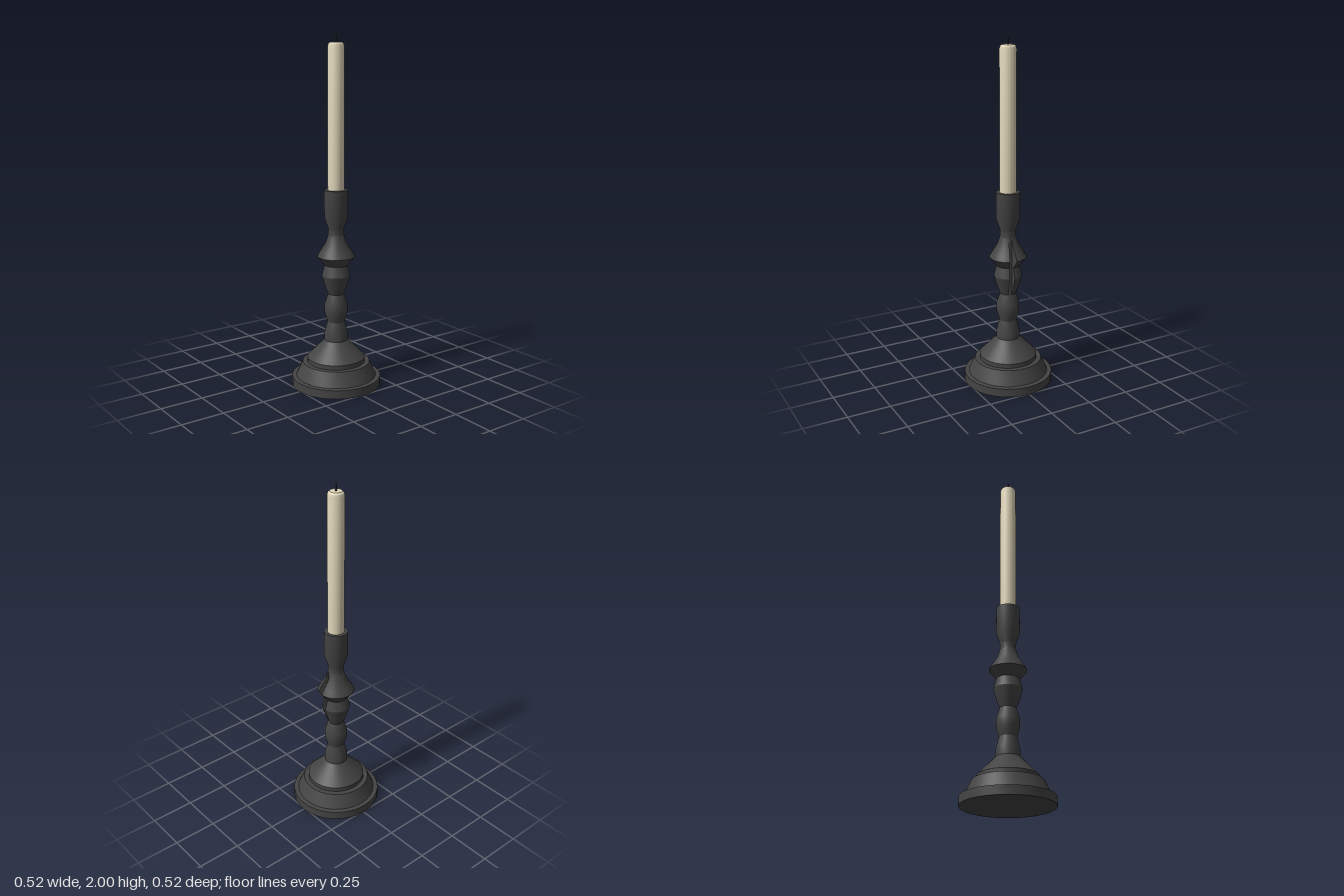
import * as THREE from 'three';
import { toCreasedNormals } from 'three/addons/utils/BufferGeometryUtils.js';

const SEGMENTS = 32;
const NOTCH = Math.PI / 8; // narrow gap at the back of the turned collar

const metal = new THREE.MeshStandardMaterial({ color: 0x444444, side: THREE.DoubleSide });
metal.name = 'darkIron';
const wax = new THREE.MeshStandardMaterial({ color: 0xddd3b6 });
wax.name = 'creamWax';
const wickMaterial = new THREE.MeshStandardMaterial({ color: 0x303030 });
wickMaterial.name = 'wickBlack';

// Turned part from [radius, height] pairs, bottom to top
function turned(name, profile, material, segments = SEGMENTS, start = 0, length = Math.PI * 2) {
  const points = profile.map(([r, y]) => new THREE.Vector2(r, y));
  const geometry = new THREE.LatheGeometry(points, segments, start, length);
  const mesh = new THREE.Mesh(toCreasedNormals(geometry, 0.4), material);
  mesh.name = name;
  return mesh;
}

export function createModel() {
  const model = new THREE.Group();
  model.name = 'candlestick';

  // Stepped foot
  model.add(turned('foot', [
    [0, 0], [0.258, 0], [0.258, 0.05], [0.232, 0.052], [0.195, 0.135],
    [0.168, 0.136], [0.168, 0.162], [0.067, 0.265],
  ], metal));

  // Lower stem with one rounded bead
  model.add(turned('lowerStem', [
    [0.067, 0.265], [0.067, 0.31], [0.049, 0.375], [0.066, 0.43], [0.066, 0.48], [0.045, 0.54],
  ], metal));

  // Flared collar, open over a narrow sector at the back
  const collar = [
    [0.045, 0.54], [0.06, 0.575], [0.082, 0.65], [0.065, 0.71], [0.107, 0.762],
    [0.088, 0.795], [0.06, 0.84], [0.046, 0.885],
  ];
  model.add(turned('collar', collar, metal, 30, Math.PI, Math.PI * 2 - NOTCH));
  model.add(turned('collarCore', [[0.045, 0.54], [0.046, 0.885]], metal, 2, Math.PI - NOTCH, NOTCH));

  // Flat side walls of the collar gap
  const wallShape = new THREE.Shape(collar.map(([r, y]) => new THREE.Vector2(r, y)));
  for (const angle of [Math.PI, Math.PI - NOTCH]) {
    const wall = new THREE.Mesh(new THREE.ShapeGeometry(wallShape), metal);
    wall.rotation.y = angle - Math.PI / 2;
    wall.name = 'collarGapWall';
    model.add(wall);
  }

  // Neck and cup holding the candle
  model.add(turned('candleCup', [
    [0.046, 0.885], [0.044, 0.92], [0.067, 0.99], [0.067, 1.145], [0.045, 1.145], [0.045, 1.1],
  ], metal));

  // Candle with a bevelled tip
  model.add(turned('candle', [
    [0, 1.1], [0.047, 1.1], [0.047, 1.94], [0.043, 1.953], [0.034, 1.962], [0, 1.962],
  ], wax, 48));

  const wick = new THREE.Mesh(new THREE.CylinderGeometry(0.005, 0.005, 0.05, 12), wickMaterial);
  wick.position.y = 1.975;
  wick.name = 'wick';
  model.add(wick);

  return model;
}
